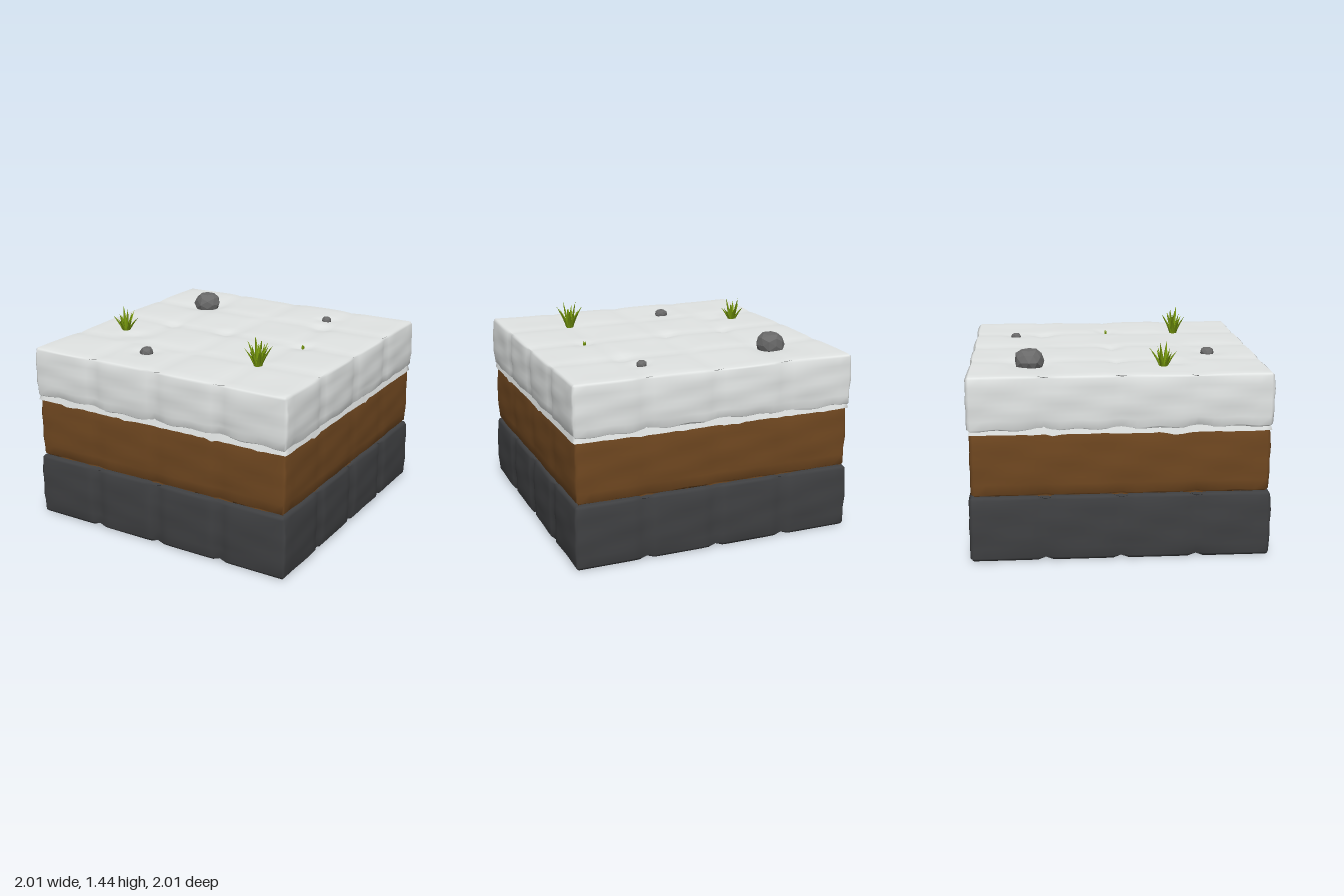
import * as THREE from 'three';
import { mergeVertices, mergeGeometries } from 'three/addons/utils/BufferGeometryUtils.js';

const paint = (name, color, side = THREE.FrontSide) => {
  const m = new THREE.MeshStandardMaterial({ color, side });
  m.name = name;
  return m;
};

// seeded random numbers
const seeded = (s) => () => ((s = (s * 16807) % 2147483647) / 2147483647);

// rocks and dents in the snow: x, z, radius
const rocks = [[-0.58, -0.59, 0.1], [0.42, -0.69, 0.036], [-0.28, 0.66, 0.046]];
const dents = [...rocks, [0.48, -0.48, 0.06], [0.58, 0, 0.05], [-0.5, 0, 0.04], [-0.05, 0, 0.05], [-0.6, 0.38, 0.06]];

const wave = (x, z) => Math.sin(x * 7 + 1.3 + z * 2) * Math.sin(z * 6 + 0.7 - x * 1.5);

// Weld the vertices into a plain geometry with smooth normals
function smooth(geo) {
  geo.deleteAttribute('normal');
  geo.deleteAttribute('uv');
  const welded = mergeVertices(geo, 1e-4);
  const g = new THREE.BufferGeometry();
  g.setAttribute('position', welded.attributes.position);
  g.setIndex(welded.index);
  g.computeVertexNormals();
  return g;
}

// A slab whose faces are pillowed into a 4 x 4 grid of blocks
function layer(name, mat, o) {
  const geo = new THREE.BoxGeometry(2, 2, 2, 40, 10, 40);
  const p = geo.attributes.position;
  const groove = (u) => {
    if (Math.abs(u) > 0.75) return 0;
    const d = Math.abs(u - Math.round(u * 2) / 2);
    return Math.max(0, 1 - d / o.width) ** 2;
  };
  const tight = (t, a, b) => (Math.abs(Math.abs(t) - a) < 1e-3 ? Math.sign(t) * b : t);
  for (let i = 0; i < p.count; i++) {
    const x = p.getX(i), y = p.getY(i), z = p.getZ(i);
    const [fx, fy, fz] = [x, y, z].map((v) => Math.abs(v) > 0.999);
    const edge = fx + fy + fz > 1 ? o.round : 0;
    let X = tight(x, 0.95, 0.975) * o.half;
    let Z = tight(z, 0.95, 0.975) * o.half;
    const t = (tight(y, 0.8, 0.9) + 1) / 2;
    let Y = o.y0 + (o.y1 - o.y0) * t;
    const barrel = 0.01 * y * y + (y < -0.99 ? o.tuck : 0);
    const side = (u, w) => barrel + edge + o.depth * groove(u) + 0.004 * wave(u * 1.3 + w, y + w);
    if (fx) X -= Math.sign(x) * side(z, x);
    if (fz) Z -= Math.sign(z) * side(x, z * 2);
    if (fy) {
      const g = Math.max(groove(x), groove(z));
      Y -= Math.sign(y) * (edge + (y > 0 ? o.topDepth : o.depth) * g);
      if (y > 0 && o.dents) {
        Y += 0.004 * wave(x, z);
        for (const [dx, dz, r] of dents) Y -= 0.02 * Math.exp(-((x - dx) ** 2 + (z - dz) ** 2) / (r * r * 1.5));
      }
    }
    // ragged lower rim
    if (y < -0.5) Y += o.ragged * wave(x * 2.3 + z, z * 2.3 - x) * -y;
    p.setXYZ(i, X, Y, Z);
  }
  const mesh = new THREE.Mesh(smooth(geo), mat);
  mesh.name = name;
  return mesh;
}

// Thin jagged snow rim wrapped around the top of the soil
function snowFringe(mat) {
  const geo = new THREE.PlaneGeometry(8, 1, 160, 1);
  const p = geo.attributes.position;
  const rnd = seeded(77);
  const drip = Array.from({ length: 80 }, () => rnd() * 0.014);
  for (let i = 0; i < p.count; i++) {
    const s = (p.getX(i) + 4) % 8, low = p.getY(i) < 0;
    const k = Math.floor(s / 2 + 1e-6), t = s - k * 2 - 1;
    const [x, z] = [[t, 1], [1, -t], [-t, -1], [-1, t]][k % 4];
    const r = low ? 0.987 : 0.975;
    const y = low ? 0.868 - drip[Math.round(s * 20) % 80] * (0.4 + Math.max(0, wave(x * 2, z * 2))) : 0.915;
    p.setXYZ(i, x * r, y, z * r);
  }
  const mesh = new THREE.Mesh(smooth(geo), mat);
  mesh.name = 'snowFringe';
  return mesh;
}

// Faceted stone, lumpy but closed
function rock(x, z, r, mat, seed) {
  const geo = smooth(new THREE.IcosahedronGeometry(1, 1));
  const rnd = seeded(seed);
  const p = geo.attributes.position;
  for (let i = 0; i < p.count; i++) {
    const k = r * (0.93 + rnd() * 0.14);
    p.setXYZ(i, p.getX(i) * k, Math.min(p.getY(i), 0.75) * k, p.getZ(i) * k);
  }
  const flat = geo.toNonIndexed();
  flat.computeVertexNormals();
  const mesh = new THREE.Mesh(flat, mat);
  mesh.name = 'rock';
  mesh.position.set(x, r > 0.08 ? 1.268 : 1.245, z);
  return mesh;
}

// One tapering blade that curves outward
function blade(angle, height, reach, width) {
  const g = new THREE.CylinderGeometry(0, width, height, 4, 5, true).translate(0, height / 2, 0);
  const p = g.attributes.position;
  for (let i = 0; i < p.count; i++) {
    const t = THREE.MathUtils.clamp(p.getY(i) / height, 0, 1);
    const swell = 0.75 + 1.3 * t;
    p.setXYZ(i, p.getX(i) * swell * 0.7 + 0.015 + reach * t ** 1.4, t * height, p.getZ(i) * swell);
  }
  g.computeVertexNormals();
  return g.rotateY(angle);
}

// A ring of leaning blades around taller inner ones
function tuft(name, x, z, count, height, reach, mat, seed) {
  const rnd = seeded(seed);
  const blades = [];
  for (let i = 0; i < count; i++) {
    const a = (i / count) * Math.PI * 2 + 0.4 + rnd() * 0.3;
    blades.push(blade(a, height * (0.58 + 0.25 * rnd()), reach * (0.85 + 0.15 * rnd()), 0.017));
  }
  for (let i = 0; i < 4; i++) blades.push(blade(i * 1.6 + 0.9, height * (0.8 + 0.2 * (i % 2)), reach * 0.4, 0.016));
  const mesh = new THREE.Mesh(mergeGeometries(blades), mat);
  mesh.name = name;
  mesh.position.set(x, 1.23, z);
  return mesh;
}

export function createModel() {
  const snow = paint('snow', 0xe2e5e4, THREE.DoubleSide);
  const soil = paint('soil', 0x6f4720);
  const bedrock = paint('dark stone', 0x3f4042);
  const stone = paint('grey stone', 0x6a6a6a);
  const grass = paint('grass', 0x799b0e, THREE.DoubleSide);

  const model = new THREE.Group();
  model.name = 'groundBlock';
  model.add(
    layer('stoneLayer', bedrock, { y0: 0, y1: 0.445, half: 1, round: 0.008, width: 0.07, depth: 0.02, topDepth: 0.015, tuck: 0, ragged: 0 }),
    layer('soilLayer', soil, { y0: 0.44, y1: 0.885, half: 0.986, round: 0.008, width: 0.12, depth: 0.006, topDepth: 0, tuck: 0.015, ragged: 0.006 }),
    layer('snowLayer', snow, { y0: 0.89, y1: 1.25, half: 1, round: 0.008, width: 0.13, depth: 0.016, topDepth: 0.008, tuck: 0.004, ragged: 0.013, dents: true }),
    snowFringe(snow)
  );
  rocks.forEach(([x, z, r], i) => model.add(rock(x, z, r, stone, 11 + i * 31)));
  model.add(
    tuft('leftGrass', 0.52, 0.52, 8, 0.21, 0.085, grass, 5),
    tuft('rightGrass', -0.72, 0.3, 6, 0.18, 0.08, grass, 9)
  );
  const sprout = tuft('grassSprout', 0.58, 0, 3, 0.03, 0.01, grass, 3);
  sprout.scale.set(0.4, 1, 0.4);
  model.add(sprout);
  return model;
}
